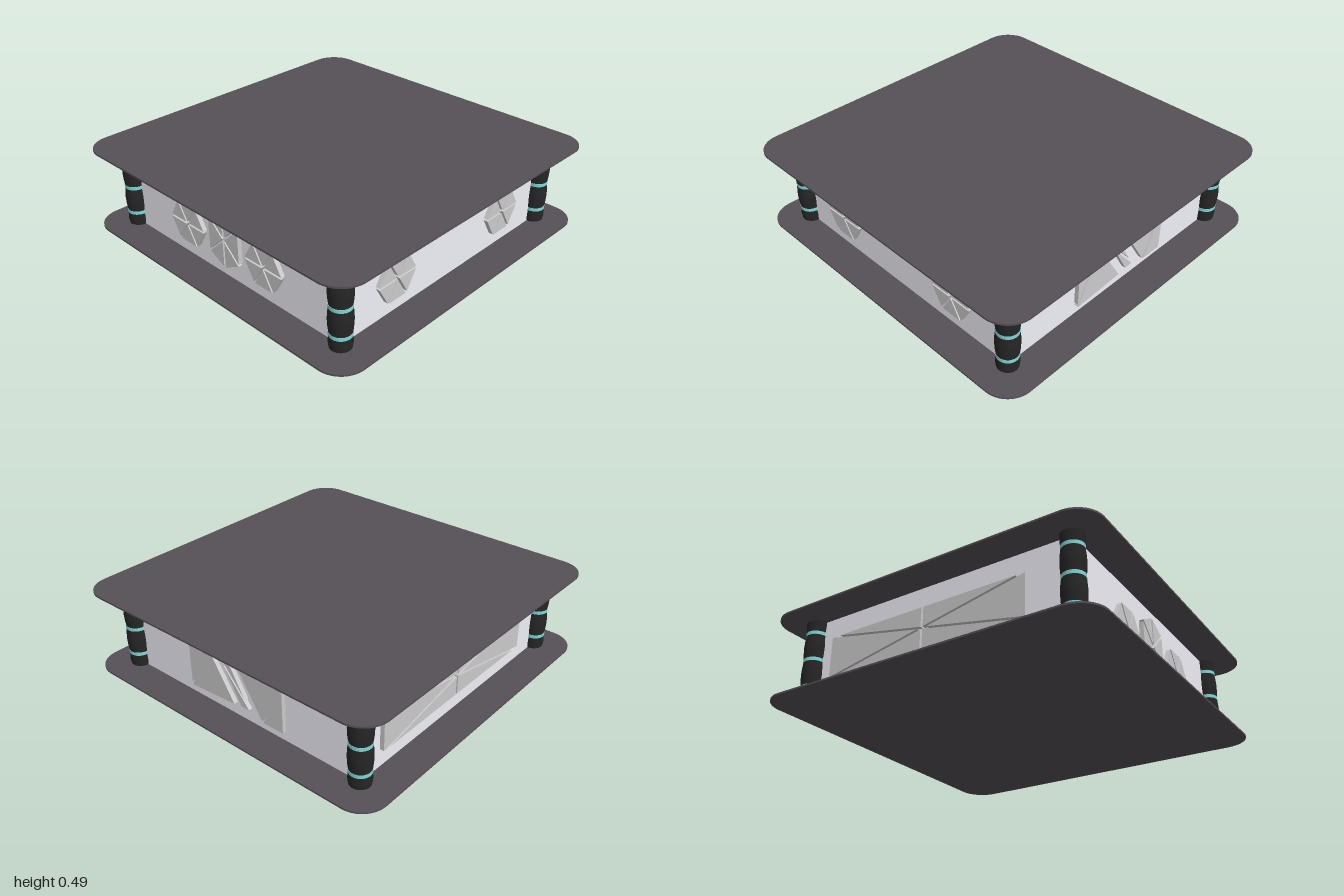
import * as THREE from 'three';

const mat = (color) => new THREE.MeshStandardMaterial({ color });
const V = (x, y) => new THREE.Vector2(x, y);

export function createModel() {
  const model = new THREE.Group();
  const plateMat = mat(0x565056), wallMat = mat(0xf0f0f8), greyMat = mat(0xcccccc);
  const pillarMat = mat(0x262626), ringMat = mat(0x7fd8d8);
  const WALL = 0.81, DEPTH = 0.025, GAP = 0.006;

  const add = (parent, name, geometry, material) => {
    const mesh = new THREE.Mesh(geometry, material);
    mesh.name = name;
    parent.add(mesh);
    return mesh;
  };

  // Rounded square plates, bottom and top
  const s = new THREE.Shape();
  const c = 0.85, r = 0.15;
  s.absarc(c, c, r, 0, Math.PI / 2);
  s.absarc(-c, c, r, Math.PI / 2, Math.PI);
  s.absarc(-c, -c, r, Math.PI, Math.PI * 1.5);
  s.absarc(c, -c, r, Math.PI * 1.5, Math.PI * 2);
  const plateGeo = new THREE.ExtrudeGeometry(s, { depth: 0.01, bevelEnabled: false, curveSegments: 12 });
  plateGeo.rotateX(-Math.PI / 2);
  add(model, 'bottomPlate', plateGeo, plateMat);
  add(model, 'topPlate', plateGeo, plateMat).position.y = 0.483;

  // Wall block between the plates
  add(model, 'walls', new THREE.BoxGeometry(WALL * 2, 0.473, WALL * 2), wallMat).position.y = 0.2465;

  // Corner pillars: bulging shaft with three narrow rings
  const profile = [[0.058, 0.01], [0.062, 0.04], [0.058, 0.09], [0.063, 0.13], [0.065, 0.17],
    [0.063, 0.21], [0.058, 0.25], [0.063, 0.29], [0.065, 0.33], [0.063, 0.37],
    [0.058, 0.41], [0.062, 0.45], [0.064, 0.485]].map(([x, y]) => V(x, y));
  const shaftGeo = new THREE.LatheGeometry(profile, 32);
  const ringGeo = new THREE.CylinderGeometry(0.061, 0.061, 0.02, 32);
  for (const x of [-WALL, WALL]) {
    for (const z of [-WALL, WALL]) {
      const pillar = new THREE.Group();
      pillar.name = 'pillar';
      pillar.position.set(x, 0, z);
      add(pillar, 'shaft', shaftGeo, pillarMat);
      for (const y of [0.09, 0.25, 0.41]) add(pillar, 'ring', ringGeo, ringMat).position.y = y;
      model.add(pillar);
    }
  }

  // A raised triangle, shrunk about its incentre to leave narrow grooves
  const triangle = (parent, a, b, d) => {
    const la = b.distanceTo(d), lb = a.distanceTo(d), ld = a.distanceTo(b), p = la + lb + ld;
    const centre = V((a.x * la + b.x * lb + d.x * ld) / p, (a.y * la + b.y * lb + d.y * ld) / p);
    const area2 = Math.abs((b.x - a.x) * (d.y - a.y) - (d.x - a.x) * (b.y - a.y));
    const k = 1 - GAP / (area2 / p);
    const shape = new THREE.Shape([a, b, d].map((q) => q.clone().sub(centre).multiplyScalar(k).add(centre)));
    add(parent, 'raisedTriangle', new THREE.ExtrudeGeometry(shape, { depth: DEPTH, bevelEnabled: false }), greyMat);
  };

  // A panel of triangles fanned around a centre
  const fan = (parent, name, cx, cy, points) => {
    const panel = new THREE.Group();
    panel.name = name;
    panel.position.set(cx, cy, 0);
    points.forEach((q, i) => triangle(panel, V(0, 0), V(...q), V(...points[(i + 1) % points.length])));
    parent.add(panel);
  };

  // One group per wall, with local z pointing outward
  const side = (name, angle) => {
    const g = new THREE.Group();
    g.name = name;
    g.rotation.y = angle;
    g.position.set(Math.sin(angle) * WALL, 0, Math.cos(angle) * WALL);
    model.add(g);
    return g;
  };
  const hexagon = [0, 1, 2, 3, 4, 5].map((i) =>
    [0.145 * Math.cos(i * Math.PI / 3), 0.145 * Math.sin(i * Math.PI / 3)]);
  const tall = (w, h, tip) => [[0, tip], [-w, h], [-w, -h], [0, -tip], [w, -h], [w, h]];

  // Front: two hexagons and a taller one between
  const front = side('frontPanels', 0);
  for (const x of [-0.3, 0.3]) fan(front, 'hexagonPanel', x, 0.215, hexagon);
  fan(front, 'tallHexagonPanel', 0, 0.245, tall(0.121, 0.115, 0.178));

  // Left: two hexagons
  const left = side('leftPanels', Math.PI / 2);
  for (const x of [-0.435, 0.435]) fan(left, 'hexagonPanel', x, 0.215, hexagon);

  // Right: one long panel
  fan(side('rightPanels', -Math.PI / 2), 'longPanel', -0.05, 0.235, tall(0.62, 0.125, 0.125));

  // Back: two slanted panels, turned half round from each other, and a slanted strip
  const back = side('backPanels', Math.PI);
  for (const turn of [0, Math.PI]) {
    const half = new THREE.Group();
    half.name = 'slantedPanel';
    half.position.y = 0.225;
    half.rotation.z = turn;
    triangle(half, V(-0.34, -0.16), V(-0.34, 0.16), V(-0.19, 0.16));
    triangle(half, V(-0.34, -0.16), V(-0.19, 0.16), V(0, -0.14));
    triangle(half, V(-0.11, 0.13), V(-0.04, 0.13), V(0.11, -0.13));
    back.add(half);
  }
  return model;
}
